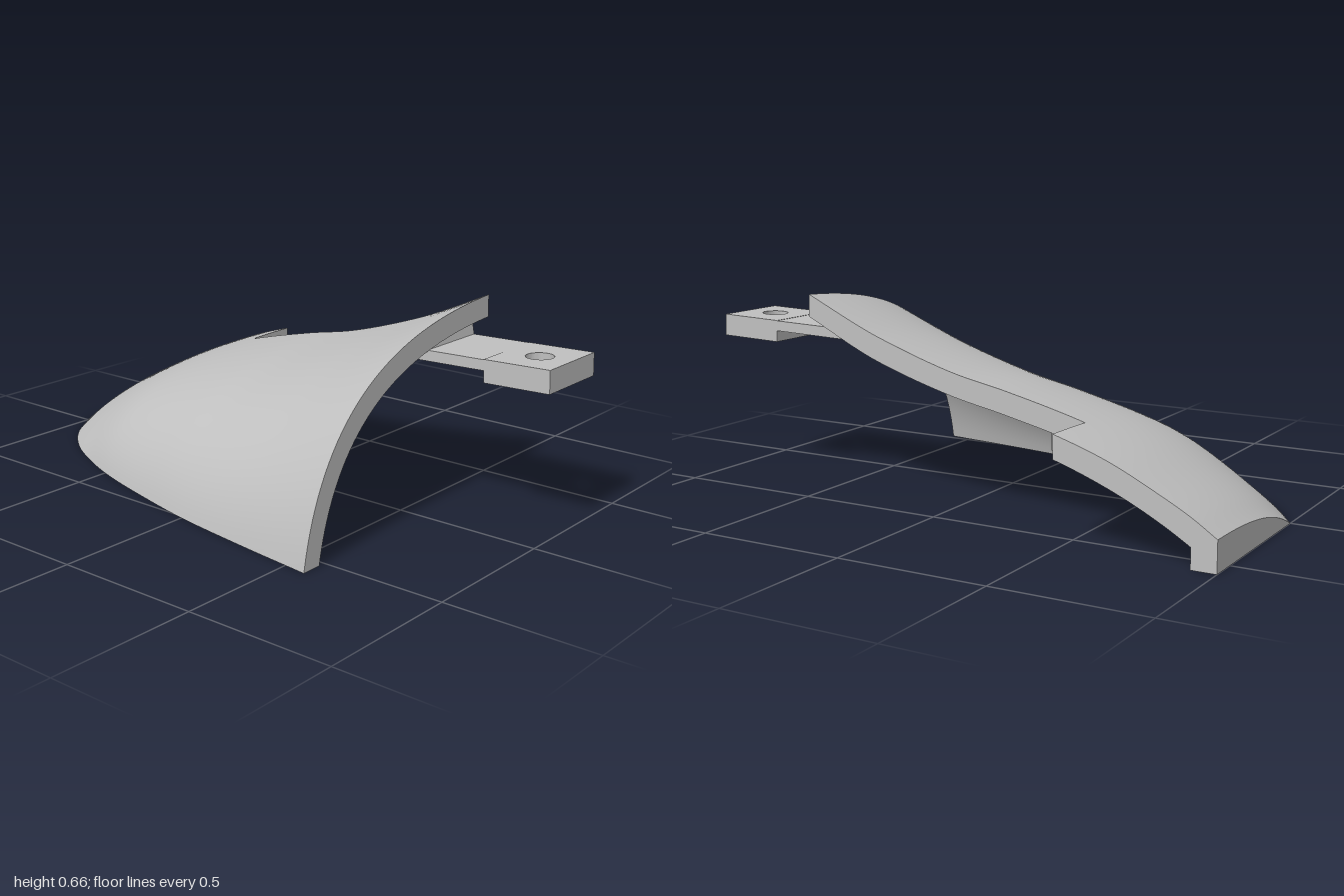
import * as THREE from 'three';
import { mergeGeometries, toCreasedNormals } from 'three/addons/utils/BufferGeometryUtils.js';

// Stations along the shell: z, outer rim x, outer height, inner rim x, inner height
const stations = [
  [-1.0, 0, 0.10, 0.17, 0.01],
  [-0.92, -0.12, 0.152, 0.05, 0.066],
  [-0.8, -0.23, 0.215, -0.09, 0.135],
  [-0.66, -0.31, 0.28, -0.205, 0.2],
  [-0.48, -0.385, 0.34, -0.295, 0.264],
  [-0.2, -0.465, 0.41, -0.385, 0.333],
  [0, -0.512, 0.452, -0.434, 0.375],
  [0.3, -0.56, 0.55, -0.486, 0.468],
  [0.58, -0.597, 0.667, -0.525, 0.592],
];
const spline = new THREE.CubicInterpolant(
  stations.map(s => s[0]), stations.flatMap(s => s.slice(1)), 4, new Float32Array(4));

const RIGHT = 0.595, NOTCH_X = 0.39, NOTCH_Z = -0.48, WALL_Z = -0.92;
const COLS = 36, EXTRA = 8;

const bez = (t, p1, p2) => 3 * t * (1 - t) ** 2 * p1 + 3 * t * t * (1 - t) * p2 + t ** 3;

// One arched line from the rim up to the right-hand side
function arch(z, rim, height, wide) {
  const k = THREE.MathUtils.smoothstep(-z, 0.5, 1);
  const p1x = 0.1 + 0.12 * k, p1y = 0.85 - 0.2 * k;
  const xAt = t => rim + (RIGHT - rim) * bez(t, p1x, 0.5);
  let lo = 0, hi = 1;
  for (let i = 0; i < 40; i++) {
    const mid = (lo + hi) / 2;
    if (xAt(mid) < NOTCH_X) lo = mid; else hi = mid;
  }
  const lean = 0.03 * THREE.MathUtils.clamp((z - 0.3) / 0.28, 0, 1);
  const points = [];
  for (let j = 0; j <= COLS + (wide ? EXTRA : 0); j++) {
    const t = j <= COLS ? lo * j / COLS : lo + (1 - lo) * (j - COLS) / EXTRA;
    const y = height * bez(t, p1y, 1);
    points.push([xAt(t), y, z - lean * y]);
  }
  return points;
}

// Closed solid between z0 and z1; solid = filled down to the base
function shellPart(z0, z1, rows, wide, solid) {
  const pos = [], index = [];
  let n = 0;
  for (let i = 0; i <= rows; i++) {
    const z = z0 + (z1 - z0) * i / rows;
    const [xo, ho, xi, hi] = spline.evaluate(z);
    const outer = arch(z, xo, ho, wide);
    const inner = solid ? outer.map(p => [p[0], 0, p[2]]) : arch(z, xi, hi, wide);
    n = outer.length;
    pos.push(...outer.flat(), ...inner.reverse().flat());
  }
  const L = 2 * n;
  const quad = (a, b, c, d) => index.push(a, b, c, a, c, d);
  for (let i = 0; i < rows; i++) {
    for (let j = 0; j < L; j++) {
      const k = (j + 1) % L;
      quad(i * L + j, (i + 1) * L + j, (i + 1) * L + k, i * L + k);
    }
  }
  const end = rows * L;
  for (let k = 0; k < n - 1; k++) {
    const ik = L - 1 - k;
    quad(end + k, end + ik, end + ik - 1, end + k + 1);
    quad(k, k + 1, ik - 1, ik);
  }
  const g = new THREE.BufferGeometry();
  g.setAttribute('position', new THREE.Float32BufferAttribute(pos, 3));
  g.setIndex(index);
  return g;
}

export function createModel() {
  const model = new THREE.Group();
  const grey = new THREE.MeshStandardMaterial({ color: 0xc0c0c0 });
  grey.name = 'light grey';
  const add = (name, geometry, parent = model) => {
    const mesh = new THREE.Mesh(geometry, grey);
    mesh.name = name;
    parent.add(mesh);
    return mesh;
  };

  // Curved shell with the notch on its right-hand edge and a thick rear wall
  const shell = mergeGeometries([
    shellPart(NOTCH_Z, 0.58, 36, false, false),
    shellPart(WALL_Z, NOTCH_Z, 20, true, false),
    shellPart(-1, WALL_Z, 6, true, true),
  ]);
  add('shell', toCreasedNormals(shell, 0.6));

  // Locating peg under the shell
  add('peg', new THREE.CylinderGeometry(0.058, 0.058, 0.175, 40)).position.set(-0.14, 0.1925, -0.14);

  // Mounting tab: thin arm with a wedge into the shell, then a drilled block
  const tab = new THREE.Group();
  tab.name = 'mountingTab';
  model.add(tab);

  const x0 = 0.04, x1 = 0.31;
  const profile = new THREE.Shape([
    [0.77, 0.549], [0.56, 0.543], [0.553, 0.578], [0.47, 0.545], [0.47, 0.505], [0.77, 0.514],
  ].map(p => new THREE.Vector2(...p)));
  const arm = new THREE.ExtrudeGeometry(profile, { depth: x1 - x0, bevelEnabled: false });
  arm.rotateY(-Math.PI / 2).translate(x1, 0, 0);
  add('tabArm', arm, tab);

  const plan = new THREE.Shape([
    [x0, 0], [x1, 0], [x1, 0.232], [x0, 0.232],
  ].map(p => new THREE.Vector2(...p)));
  const hole = new THREE.Path();
  hole.absarc(0.172, 0.12, 0.045, 0, Math.PI * 2, true);
  plan.holes.push(hole);
  const block = new THREE.ExtrudeGeometry(plan, { depth: 0.075, bevelEnabled: false, curveSegments: 32 });
  block.rotateX(Math.PI / 2).rotateX(-0.03).translate(0, 0.55, 0.768);
  add('tabBlock', toCreasedNormals(block, 0.6), tab);

  return model;
}
